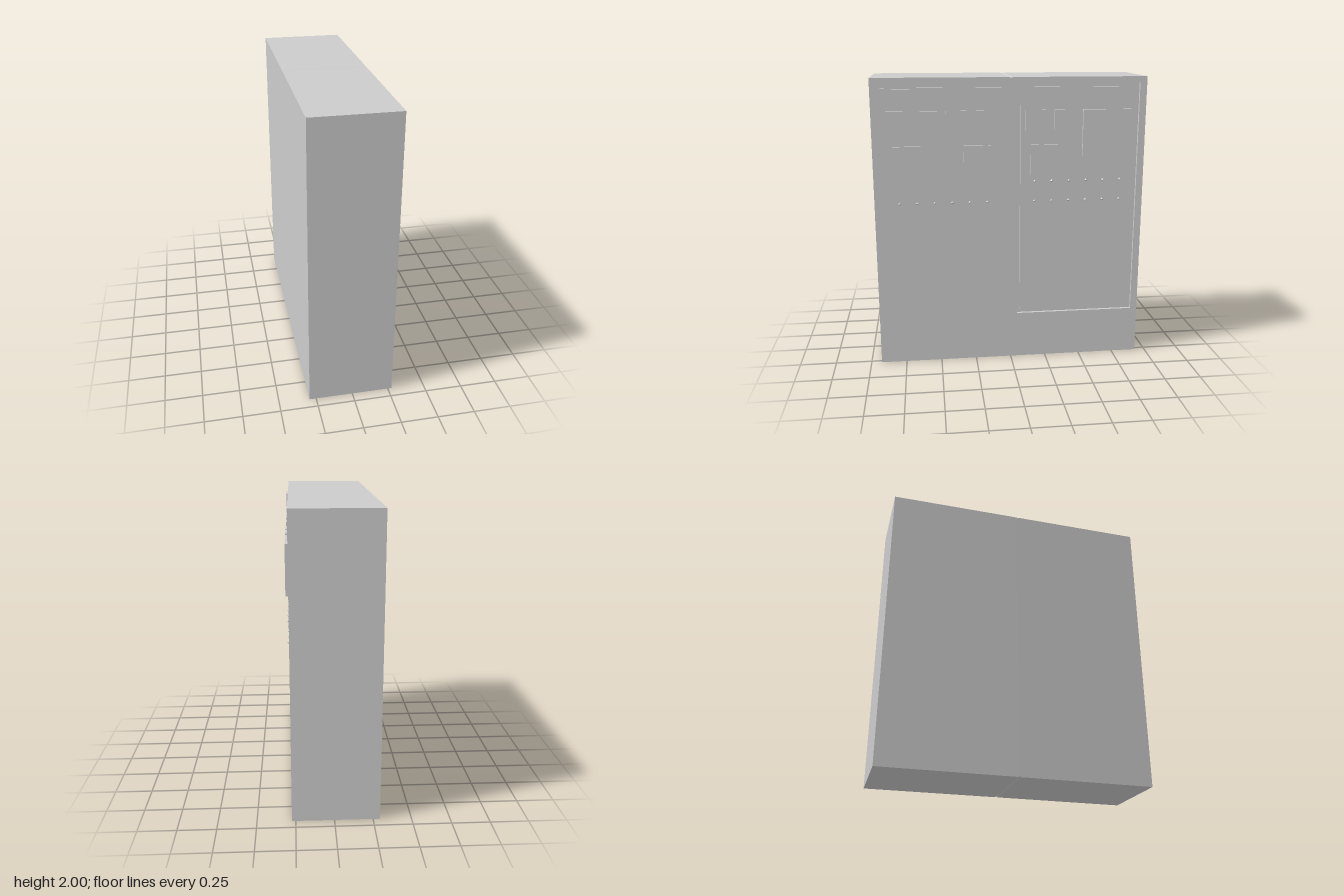
import * as THREE from 'three';

const BACK = -0.295, FACE = 0.275, GROOVE = 0.02;
const material = new THREE.MeshStandardMaterial({ color: 0xcccccc, flatShading: true });

function addMesh(parent, geometry, name) {
  const mesh = new THREE.Mesh(geometry, material);
  mesh.name = name;
  parent.add(mesh);
  return mesh;
}

// Plate on the +x side, given its z and y ranges
function addPlate(parent, name, z0, z1, y0, y1, x0, x1) {
  const g = new THREE.BoxGeometry(x1 - x0, y1 - y0, Math.abs(z1 - z0));
  addMesh(parent, g, name).position.set((x0 + x1) / 2, (y0 + y1) / 2, (z0 + z1) / 2);
}

// Side outline of one cabinet, with small chamfers along the joint at z = 0
function outline(side) {
  const c = 0.012, d = 0.006;
  const points = [[0, d], [c, 0], [0.927, 0], [0.927, 2], [c, 2], [0, 2 - d]];
  return new THREE.Shape(points.map(([z, y]) => new THREE.Vector2(-side * z, y)));
}

function extrudeAlongX(shape, x0, x1) {
  const g = new THREE.ExtrudeGeometry(shape, { depth: x1 - x0, bevelEnabled: false });
  return g.rotateY(Math.PI / 2).translate(x0, 0, 0);
}

function cabinet(side, name) {
  const group = new THREE.Group();
  group.name = name;
  addMesh(group, extrudeAlongX(outline(side), BACK, FACE - GROOVE), 'cabinetBody');

  // Front skin with the door opening; the door sits in it with a groove all round
  const skin = outline(side);
  const opening = [[0.045, 0.331], [0.88, 0.331], [0.88, 1.958], [0.045, 1.958]];
  skin.holes.push(new THREE.Path(opening.map(([z, y]) => new THREE.Vector2(-side * z, y))));
  addMesh(group, extrudeAlongX(skin, FACE - GROOVE, FACE), 'doorSurround');
  addPlate(group, 'door', side * 0.064, side * 0.858, 0.352, 1.934, FACE - GROOVE, FACE);
  return group;
}

export function createModel() {
  const model = new THREE.Group();
  model.name = 'controlCabinet';
  const left = cabinet(1, 'frontCabinet');
  const right = cabinet(-1, 'rearCabinet');
  model.add(left, right);

  const plate = (parent, name, z0, z1, y0, y1) =>
    addPlate(parent, name, z0, z1, y0, y1, FACE - 0.005, 0.293);

  // Name plate and display screen
  plate(left, 'labelPlate', 0.665, 0.848, 1.826, 1.924);
  plate(right, 'displayScreen', -0.824, -0.49, 1.465, 1.783);

  // Small gauges in the upper row
  for (const z of [0.76, 0.562, 0.366, 0.167, -0.167, -0.363])
    plate(z > 0 ? left : right, 'smallGauge', z - 0.069, z + 0.069, 1.645, 1.783);

  // Large gauges below
  for (const z of [0.7, 0.228, -0.228])
    plate(z > 0 ? left : right, 'largeGauge', z - 0.093, z + 0.093, 1.343, 1.55);

  // Rows of indicator lamps
  const lamp = new THREE.OctahedronGeometry(0.011);
  for (const [parent, side, y] of [[left, 1, 1.158], [right, -1, 1.158], [right, -1, 1.296]])
    for (let i = 0; i < 6; i++)
      addMesh(parent, lamp, 'indicatorLamp').position.set(FACE, y, side * (0.164 + i * 0.119));

  return model;
}
